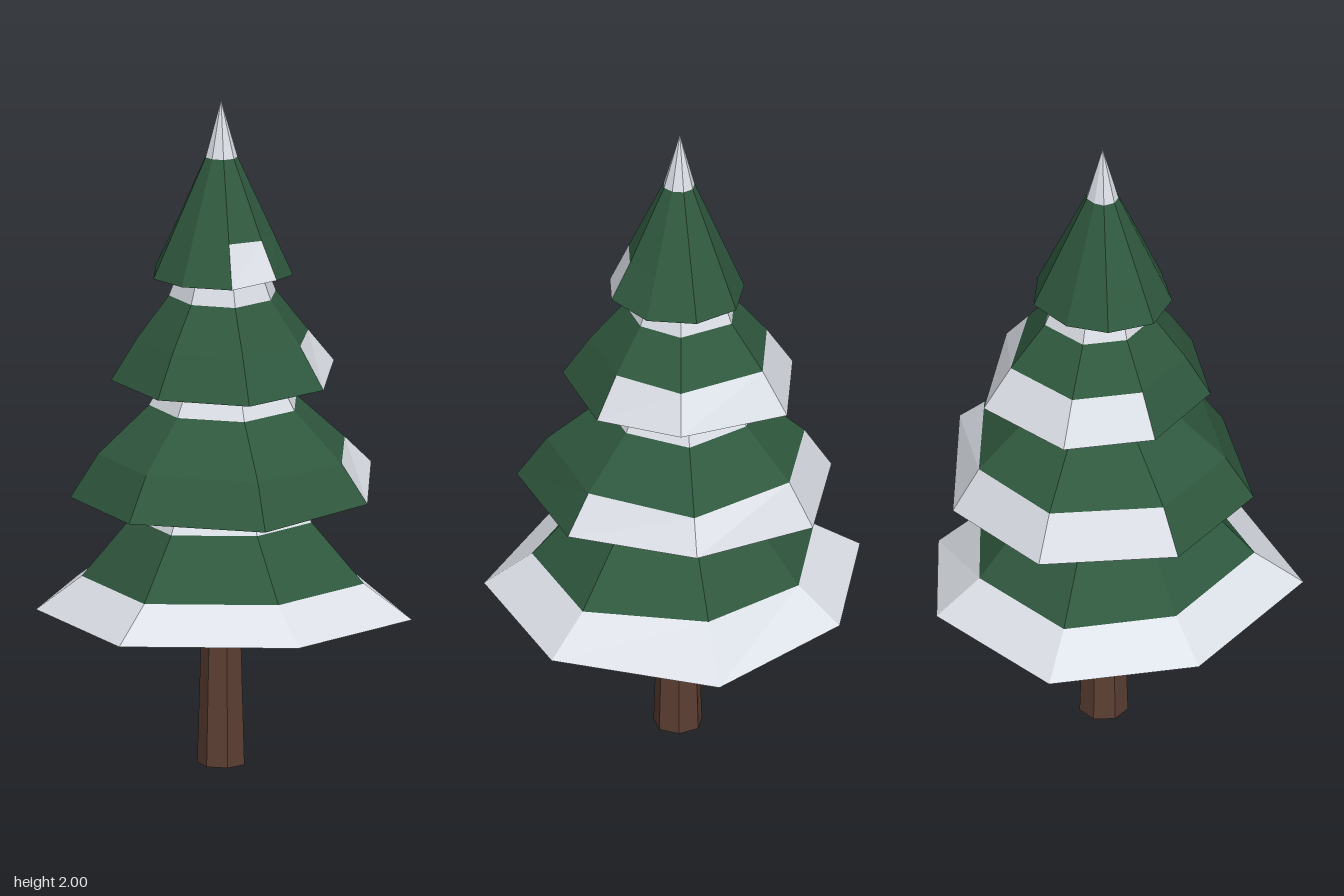
import * as THREE from 'three';

const mat = (name, color, flatShading = true) => {
  const m = new THREE.MeshStandardMaterial({ color, flatShading });
  m.name = name;
  return m;
};

// Each tier: uneven hem outline [x, z, y], then inner rings [scale, y] about the centre.
// snowySkirt lists the hem segments that carry snow; snowTop paints the last ring.
const TIERS = [
  {
    name: 'bottomBranches', centre: [0.02, -0.02], hemY: 0.47,
    hem: [[-0.28, -0.475], [0.165, -0.555, 0.425], [0.56, -0.25], [0.52, 0.24], [0.095, 0.55], [-0.39, 0.33], [-0.56, -0.085]],
    rings: [[0.75, 0.57], [0.48, 0.745], [0.36, 0.86]],
    snowySkirt: [0, 1, 2, 3, 4, 5, 6],
  },
  {
    name: 'lowerBranches', centre: [0.015, -0.05], hemY: 0.805,
    hem: [[-0.21, -0.44], [0.21, -0.5, 0.85], [0.46, -0.165, 0.82], [0.405, 0.25], [0.025, 0.415], [-0.32, 0.255], [-0.435, -0.14]],
    rings: [[0.82, 0.935], [0.49, 1.08], [0.34, 1.2]],
    snowySkirt: [0, 1, 5, 6],
  },
  {
    name: 'upperBranches', centre: [0.015, -0.04], hemY: 1.155,
    hem: [[-0.17, -0.355], [0.185, -0.355, 1.18], [0.335, -0.115], [0.29, 0.18], [0.03, 0.285], [-0.235, 0.17], [-0.335, -0.085]],
    rings: [[0.77, 1.28], [0.48, 1.41], [0.35, 1.52]],
    snowySkirt: [0, 1, 5, 6],
  },
  {
    name: 'topBranches', centre: [0.015, -0.035], hemY: 1.475,
    hem: [[-0.07, -0.225], [0.07, -0.24], [0.19, -0.155], [0.235, -0.02, 1.49], [0.17, 0.11], [0.03, 0.17], [-0.1, 0.14], [-0.185, 0.02, 1.485], [-0.16, -0.11]],
    rings: [[0.73, 1.6], [0.23, 1.83], [0, 2]],
    snowySkirt: [3],
  },
];

function buildTier({ name, centre, hemY, hem, rings, snowySkirt }, green, white) {
  const [cx, cz] = centre;
  const n = hem.length;
  const levels = [
    hem.map(([x, z, y = hemY]) => [x, y, z]),
    ...rings.map(([s, y]) => hem.map(([x, z]) => [cx + (x - cx) * s, y, cz + (z - cz) * s])),
  ];
  const needles = [], snow = [];

  for (let i = 0; i < n; i++) {
    const j = (i + 1) % n;
    // underside
    needles.push([cx, hemY, cz], levels[0][i], levels[0][j]);
    // sloping bands: skirt, middle, snowy top
    for (let k = 0; k < rings.length; k++) {
      const isSnow = k === 2 || (k === 0 && snowySkirt.includes(i));
      const lo = levels[k], hi = levels[k + 1];
      const out = isSnow ? snow : needles;
      out.push(lo[j], lo[i], hi[i]);
      if (rings[k][0] > 0) out.push(lo[j], hi[i], hi[j]);
    }
  }

  const group = new THREE.Group();
  group.name = name;
  for (const [part, points, material] of [['Needles', needles, green], ['Snow', snow, white]]) {
    const geo = new THREE.BufferGeometry();
    geo.setAttribute('position', new THREE.Float32BufferAttribute(points.flat(), 3));
    geo.computeVertexNormals();
    const mesh = new THREE.Mesh(geo, material);
    mesh.name = name + part;
    group.add(mesh);
  }
  return group;
}

export function createModel() {
  const green = mat('needle green', 0x30593f);
  const white = mat('snow white', 0xdfe3ea);
  const brown = mat('bark brown', 0x5c3f33);

  const tree = new THREE.Group();
  tree.name = 'snowyFir';

  // Tapered trunk
  const trunk = new THREE.Mesh(new THREE.CylinderGeometry(0.058, 0.073, 0.5, 7), brown);
  trunk.name = 'trunk';
  trunk.position.set(0.02, 0.25, -0.033);
  tree.add(trunk);

  // Branch tiers
  for (const tier of TIERS) tree.add(buildTier(tier, green, white));
  return tree;
}
